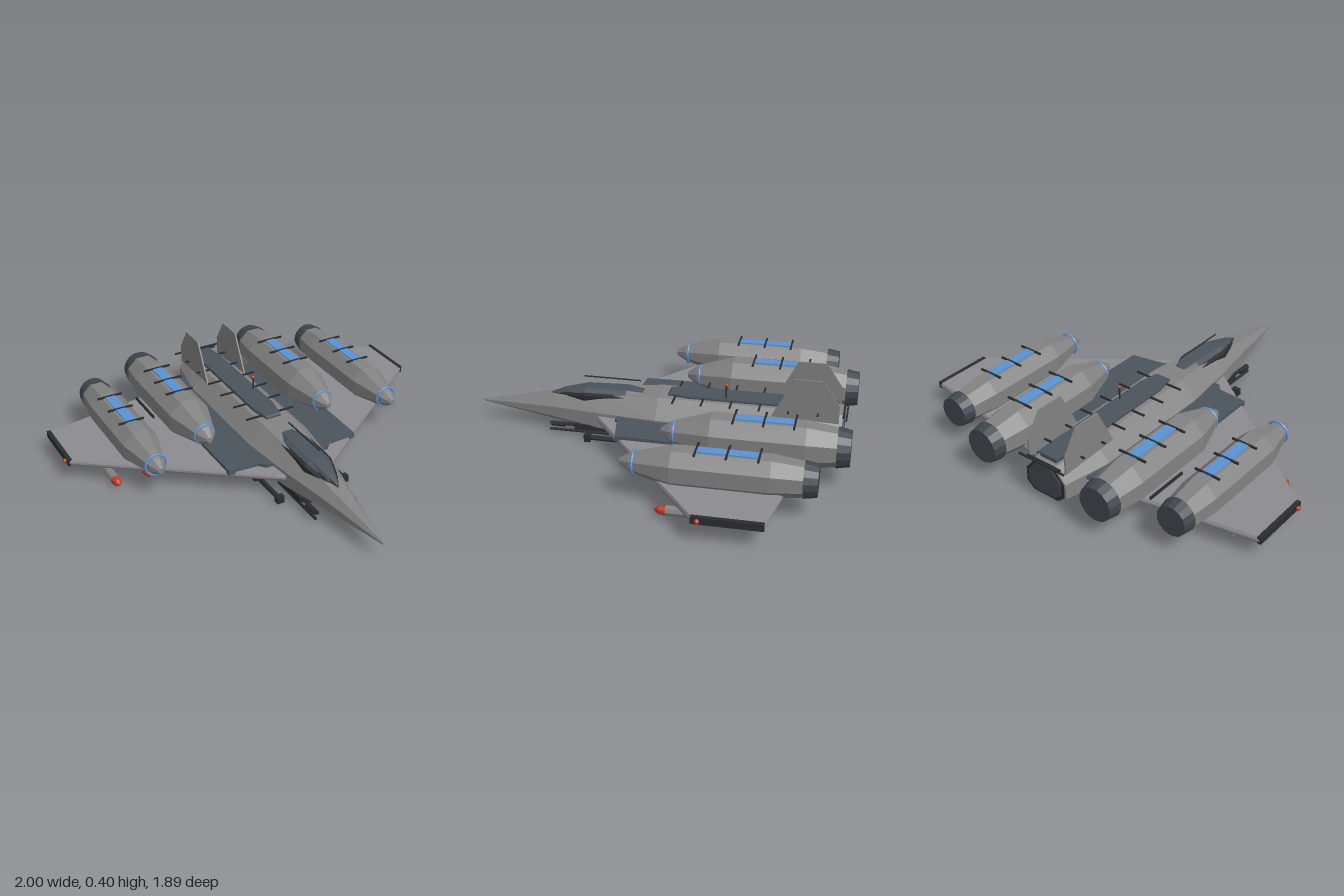
import * as THREE from 'three';

const mat = (name, color, extra = {}) =>
  Object.assign(new THREE.MeshStandardMaterial({ color, flatShading: true, ...extra }), { name });

export function createModel() {
  const M = {
    hull: mat('hull grey', 0x828282),
    wing: mat('wing grey', 0x8b8b90),
    panel: mat('slate panel', 0x4b535c),
    dark: mat('exhaust slate', 0x41474e),
    black: mat('near black', 0x2b2d31),
    blue: mat('glow blue', 0x5a92d6),
    red: mat('signal red', 0xc23a28),
  };
  const root = new THREE.Group();
  root.name = 'fighter';

  const add = (name, geo, material, x = 0, y = 0, z = 0, parent = root) => {
    const m = new THREE.Mesh(geo, material);
    m.name = name;
    m.position.set(x, y, z);
    parent.add(m);
    return m;
  };
  const box = (name, material, w, h, d, x, y, z, parent) =>
    add(name, new THREE.BoxGeometry(w, h, d), material, x, y, z, parent);
  // Cylinder lying along z
  const rodZ = (name, material, r, z0, z1, x, y, sides = 8) =>
    add(name, new THREE.CylinderGeometry(r, r, z1 - z0, sides).rotateX(Math.PI / 2), material, x, y, (z0 + z1) / 2);
  // Turned body along z from [radius, z] points, back to front
  const turned = (pts, sides) => {
    const k = 1 / Math.cos(Math.PI / sides);
    return new THREE.LatheGeometry(pts.map(([r, z]) => new THREE.Vector2(r * k, z)), sides, Math.PI / sides)
      .rotateX(Math.PI / 2);
  };

  // Skin over rings that run counter-clockwise seen from the direction of travel
  const loft = (rings) => {
    const pos = [];
    const tri = (...ps) => ps.forEach((p) => pos.push(...p));
    const n = rings[0].length;
    for (let i = 0; i < rings.length - 1; i++) {
      for (let j = 0; j < n; j++) {
        const k = (j + 1) % n;
        const [a, b, c, d] = [rings[i][j], rings[i][k], rings[i + 1][k], rings[i + 1][j]];
        tri(a, b, c);
        tri(a, c, d);
      }
    }
    const first = rings[0], last = rings[rings.length - 1];
    for (let j = 1; j < n - 1; j++) {
      tri(first[0], first[j + 1], first[j]);
      tri(last[0], last[j], last[j + 1]);
    }
    const g = new THREE.BufferGeometry();
    g.setAttribute('position', new THREE.Float32BufferAttribute(pos, 3));
    g.computeVertexNormals();
    return g;
  };
  // Horizontal plate from an [x, z] outline; levels are [y, scale about centre]
  const plate = (outline, levels, s = 1) => {
    let pts = outline.map(([x, z]) => [x * s, z]);
    const area = pts.reduce((t, [x, z], i) => {
      const [x2, z2] = pts[(i + 1) % pts.length];
      return t - x * z2 + x2 * z;
    }, 0);
    if (area < 0) pts = pts.reverse();
    const cx = pts.reduce((t, p) => t + p[0], 0) / pts.length;
    const cz = pts.reduce((t, p) => t + p[1], 0) / pts.length;
    return loft(levels.map(([y, k]) => pts.map(([x, z]) => [cx + (x - cx) * k, y, cz + (z - cz) * k])));
  };

  // Fuselage: eight-sided sections [z, half width, bottom, top]
  const section = ([z, w, b, t], k = 1) => {
    const h = t - b, c = (t + b) / 2;
    return [[0.64, 0], [1, 0.2], [1, 0.62], [0.5, 1], [-0.5, 1], [-1, 0.62], [-1, 0.2], [-0.64, 0]]
      .map(([x, y]) => [x * w * k, c + (b + y * h - c) * k, z]);
  };
  const tail = [-0.895, 0.12, 0.03, 0.215];
  add('fuselage', loft([
    tail, [-0.65, 0.163, 0.003, 0.228], [0.0, 0.163, 0.003, 0.228], [0.3, 0.125, 0.02, 0.207],
    [0.55, 0.077, 0.05, 0.172], [0.94, 0.003, 0.09, 0.098],
  ].map((s) => section(s))), M.hull);
  const rearPanel = (name, m, k, z) =>
    add(name, loft([z, -0.89].map((q) => section([q, ...tail.slice(1)], k))), m);
  rearPanel('tailFrame', M.black, 0.93, -0.899);
  rearPanel('tailVent', M.dark, 0.8, -0.903);

  // Canopy: trapezoid sections [z, half width, top]
  const canopy = (grow) => loft([
    [0.09, 0.05, 0.222], [0.17, 0.073, 0.232], [0.38, 0.07, 0.226], [0.5, 0.035, 0.2], [0.565, 0.004, 0.176],
  ].map(([z, w, t]) => [[w + grow, 0.14, z], [w + grow, t - 0.024, z], [w * 0.55, t - grow, z],
    [-w * 0.55, t - grow, z], [-w - grow, t - 0.024, z], [-w - grow, 0.14, z]]));
  add('canopyGlass', canopy(0), M.panel);
  add('canopyFrame', canopy(0.005), M.black);
  rodZ('canopyProbe', M.black, 0.004, 0.105, 0.395, 0, 0.276, 6);

  // Spine cover and cross ribs
  add('spineCover', plate([[-0.04, -0.04], [0.04, -0.04], [0.06, -0.14], [0.06, -0.74], [0.048, -0.87],
    [-0.048, -0.87], [-0.06, -0.74], [-0.06, -0.14]], [[0.2, 1], [0.236, 1], [0.242, 0.97]]), M.panel);
  for (let i = 0; i < 6; i++) box('spineRib', M.black, 0.27, 0.008, 0.008, 0, 0.232, -0.08 - i * 0.14);
  box('tailRib', M.black, 0.27, 0.008, 0.008, 0, 0.22, -0.915);
  box('tailRib', M.black, 0.2, 0.008, 0.01, 0, 0.217, -0.9);

  // Beacon mast
  add('beaconMast', new THREE.CylinderGeometry(0.004, 0.004, 0.08, 6), M.black, 0.04, 0.265, -0.33);
  add('beacon', new THREE.SphereGeometry(0.009, 8, 6), M.red, 0.04, 0.308, -0.33);

  // Chin housing
  box('chinHousing', M.black, 0.17, 0.045, 0.24, 0, 0.037, 0.3);

  // Engine pod facing +z, with its origin on the pod axis
  const pod = (s, x, y, z, r, length) => {
    const g = new THREE.Group();
    g.name = 'enginePod';
    g.position.set(s * x, y, z);
    root.add(g);
    const L = length;
    add('podBody', turned([[0, -L], [r * 0.82, -L], [r, -L + 0.14], [r, -0.24], [r * 0.52, -0.07],
      [r * 0.45, -0.05], [0.014, 0], [0, 0]], 8), M.hull, 0, 0, 0, g);
    add('exhaust', turned([[0, -L - 0.062], [r * 0.81, -L - 0.062], [r * 0.92, -L], [0, -L]], 16), M.dark, 0, 0, 0, g);
    add('intakeRing', new THREE.TorusGeometry(0.053, 0.006, 6, 24), M.blue, 0, 0, -0.065, g);
    // Top strip with three straps
    const mid = -L + 0.335;
    box('glowStrip', M.blue, 0.052, 0.008, 0.29, 0, r + 0.001, mid, g);
    for (const i of [-1, 0, 1]) box('podStrap', M.black, r * 1.45, 0.009, 0.009, 0, r + 0.003, mid + i * 0.14, g);
  };

  for (const s of [1, -1]) {
    // Wing with chamfered rim, inboard panel and tip rail
    add('wing', plate([[0.08, 0.33], [0.16, 0.28], [0.975, -0.33], [0.975, -0.64], [0.14, -0.785], [0.08, -0.785]],
      [[0.09, 0.985], [0.1, 1], [0.11, 1], [0.121, 0.985]], s), M.wing);
    add('wingPanel', plate([[0.12, 0.2], [0.17, 0.2], [0.2, 0.165], [0.355, 0.155], [0.36, -0.62], [0.24, -0.765], [0.12, -0.785]],
      [[0.11, 1], [0.136, 0.99]], s), M.panel);
    box('wingTipRail', M.black, 0.02, 0.034, 0.31, s * 0.972, 0.106, -0.485);
    add('tipLight', new THREE.SphereGeometry(0.012, 8, 6), M.red, s * 0.988, 0.106, -0.36);
    box('wingFence', M.black, 0.008, 0.02, 0.23, s * 0.457, 0.125, -0.605);

    pod(s, 0.34, 0.183, -0.07, 0.103, 0.82);
    pod(s, 0.655, 0.174, 0.05, 0.09, 0.82);

    // Upright tail fin
    const fin = new THREE.Shape([[0.56, 0.2], [0.6, 0.28], [0.66, 0.4], [0.8, 0.4], [0.88, 0.28], [0.88, 0.19]]
      .map(([z, y]) => new THREE.Vector2(z, y)));
    add('tailFin', new THREE.ExtrudeGeometry(fin, { depth: 0.008, bevelEnabled: false })
      .rotateY(Math.PI / 2), M.hull, s * 0.11 - 0.004);

    // Missiles on pylons
    for (const x of [0.635, 0.8]) {
      box('missilePylon', M.panel, 0.024, 0.045, 0.18, s * x, 0.072, -0.45);
      rodZ('missileBody', M.hull, 0.024, -0.61, -0.19, s * x, 0.032);
      add('missileTip', turned([[0, -0.05], [0.022, -0.05], [0.018, -0.02], [0.005, 0], [0, 0]], 8), M.red, s * x, 0.032, -0.14);
    }

    // Outboard cannon
    box('cannonBreech', M.black, 0.04, 0.042, 0.09, s * 0.18, 0.027, 0.08);
    rodZ('cannonBarrel', M.black, 0.013, 0.08, 0.33, s * 0.18, 0.027);
    box('cannonMuzzle', M.black, 0.038, 0.036, 0.03, s * 0.18, 0.027, 0.335);
    box('cannonMount', M.black, 0.05, 0.022, 0.07, s * 0.165, 0.055, 0.08);
    // Chin guns
    box('chinGunBody', M.black, 0.036, 0.03, 0.24, s * 0.1, 0.047, 0.3);
    rodZ('chinGunBarrel', M.black, 0.009, 0.3, 0.55, s * 0.1, 0.05);
    rodZ('chinGunMuzzle', M.black, 0.013, 0.47, 0.54, s * 0.108, 0.05);
    rodZ('lowerGunBarrel', M.black, 0.007, 0.2, 0.55, s * 0.108, 0.02);
  }
  return root;
}
